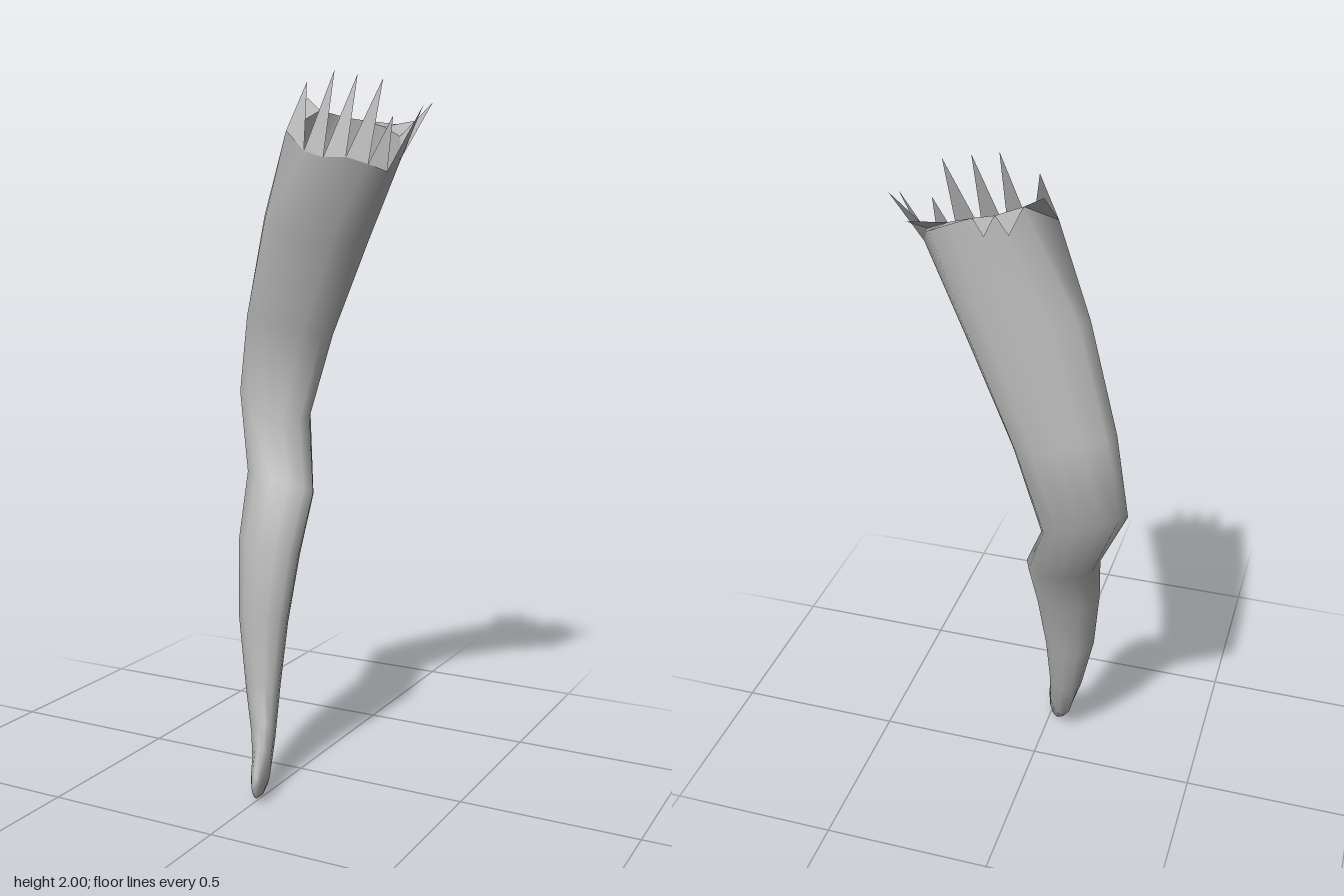
import * as THREE from 'three';

const SIDES = 12;

// Torn rim of the limb, from the left side round the front: x, y, z
const RIM = [
  [-0.082, 1.84, -0.065], [0, 1.78, -0.017], [0.065, 1.76, -0.007], [0.13, 1.76, -0.015],
  [0.19, 1.74, -0.03], [0.235, 1.72, -0.055], [0.258, 1.76, -0.1], [0.225, 1.82, -0.16],
  [0.165, 1.85, -0.18], [0.1, 1.87, -0.186], [0.045, 1.88, -0.18], [-0.02, 1.9, -0.155],
];

// Tip of the spike above each rim edge (null = no spike)
const TIPS = [
  [-0.055, 1.98, -0.14], [0.065, 2.0, -0.075], [0.138, 1.985, -0.07], [0.212, 1.97, -0.075],
  [0.24, 1.87, -0.08], [0.305, 1.9, -0.135], [0.315, 1.91, -0.178], [0.245, 1.87, -0.25],
  [0.185, 1.86, -0.277], [0.04, 1.865, -0.28], [-0.025, 1.88, -0.292], [-0.08, 1.94, -0.19],
];

// Tilted oval sections, thigh to toe:
// left x,y | right x,y | front z,y | back z,y | z shift of the left side
const SECTIONS = [
  [-0.18, 1.58, 0.135, 1.51, -0.052, 1.57, -0.215, 1.62, 0.02],
  [-0.27, 1.30, 0.0, 1.24, -0.108, 1.30, -0.258, 1.32, 0.015],
  [-0.315, 1.10, -0.08, 1.01, -0.135, 1.03, -0.275, 1.09, 0],
  [-0.215, 0.85, 0.0, 0.81, -0.015, 0.86, -0.135, 0.81, 0],
  [-0.198, 0.68, -0.004, 0.66, 0.064, 0.67, -0.055, 0.62, 0],
  [-0.175, 0.45, -0.022, 0.45, 0.1, 0.48, -0.01, 0.44, 0],
  [-0.13, 0.25, -0.026, 0.28, 0.128, 0.29, 0.04, 0.25, 0],
  [-0.088, 0.11, -0.016, 0.15, 0.158, 0.19, 0.103, 0.09, 0],
  [-0.055, 0.055, 0.003, 0.075, 0.2, 0.135, 0.178, 0.003, 0],
  [-0.028, 0.05, 0.018, 0.06, 0.25, 0.107, 0.235, 0.003, 0],
  [-0.004, 0.045, 0.022, 0.052, 0.285, 0.08, 0.276, 0.015, 0],
];
const TOE = [0.011, 0.05, 0.297];

function ring([xl, yl, xr, yr, zf, yf, zb, yb, shift]) {
  const points = [];
  for (let i = 0; i < SIDES; i++) {
    const a = (i / SIDES) * Math.PI * 2;
    const c = -Math.cos(a), s = Math.sin(a);
    points.push([
      (xl + xr) / 2 + c * (xr - xl) / 2,
      (yl + yr + yf + yb) / 4 + c * (yr - yl) / 2 + s * (yf - yb) / 2,
      (zf + zb) / 2 + s * (zf - zb) / 2 - c * shift,
    ]);
  }
  return points;
}

function geometryFrom(points, index) {
  const g = new THREE.BufferGeometry();
  g.setAttribute('position', new THREE.Float32BufferAttribute(points.flat(), 3));
  if (index) g.setIndex(index);
  g.computeVertexNormals();
  return g;
}

export function createModel() {
  const group = new THREE.Group();
  group.name = 'severedLimb';
  const grey = new THREE.MeshStandardMaterial({ color: 0xb4b4b4, side: THREE.DoubleSide });
  grey.name = 'grey';

  // Smooth skin lofted through the sections and closed at the toe
  const rings = [RIM, ...SECTIONS.map(ring)];
  const points = [...rings.flat(), TOE];
  const index = [];
  for (let r = 0; r < rings.length; r++) {
    for (let i = 0; i < SIDES; i++) {
      const j = (i + 1) % SIDES;
      const ua = r * SIDES + i, ub = r * SIDES + j;
      if (r === rings.length - 1) index.push(points.length - 1, ub, ua);
      else index.push(ua + SIDES, ub + SIDES, ua, ub + SIDES, ub, ua);
    }
  }
  const leg = new THREE.Mesh(geometryFrom(points, index), grey);
  leg.name = 'leg';
  group.add(leg);

  // Ragged triangular spikes around the open top
  const shards = [];
  TIPS.forEach((tip, i) => shards.push(RIM[i], RIM[(i + 1) % SIDES], tip));
  const spikes = new THREE.Mesh(geometryFrom(shards), grey);
  spikes.name = 'tornSpikes';
  group.add(spikes);

  return group;
}
